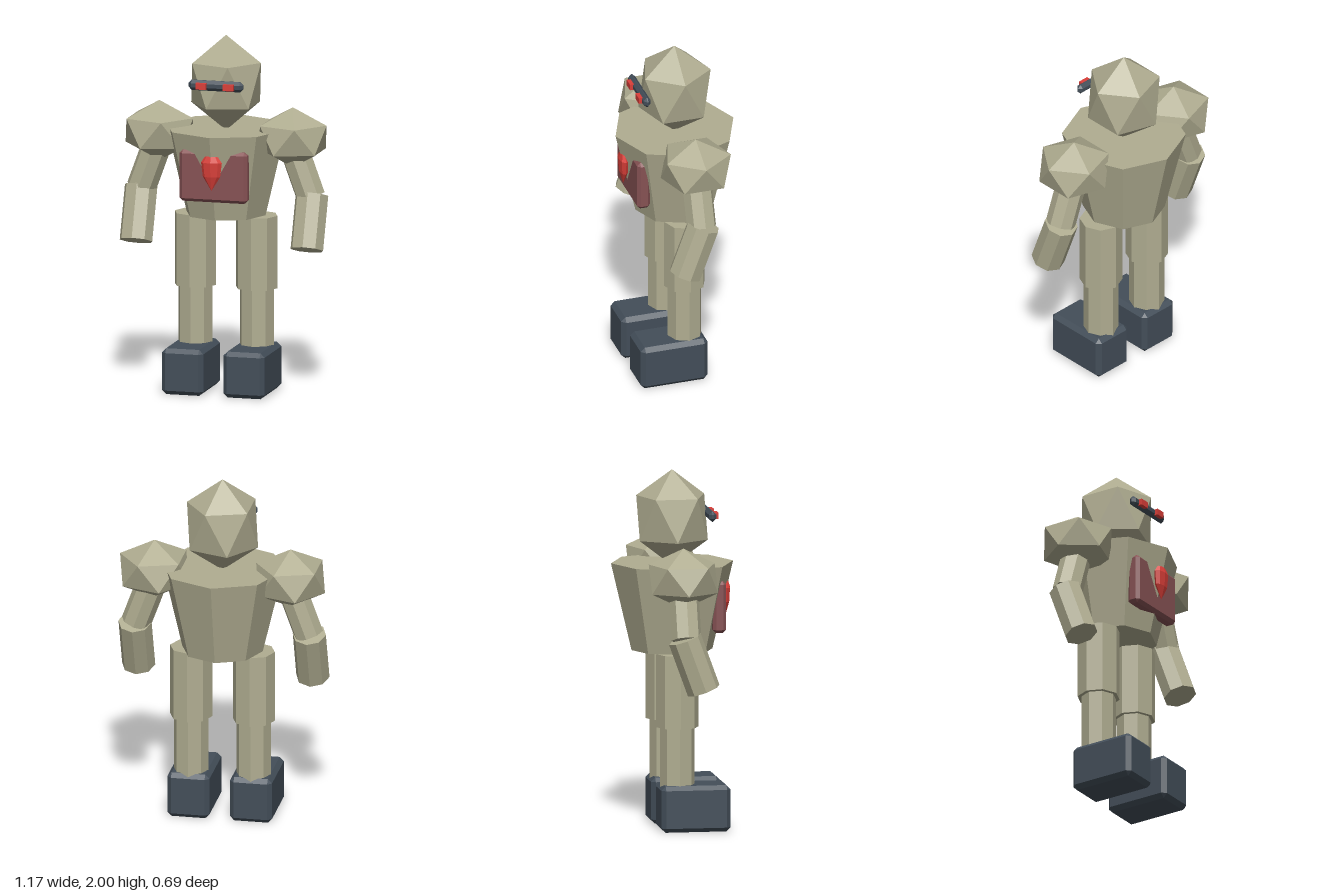
import * as THREE from 'three';
import { ConvexGeometry } from 'three/addons/geometries/ConvexGeometry.js';

const paint = (name, color) => {
  const m = new THREE.MeshStandardMaterial({ color });
  m.name = name;
  return m;
};

// Give every face its own flat normal
const faceted = (geo) => {
  const g = geo.index ? geo.toNonIndexed() : geo;
  g.computeVertexNormals();
  return g;
};

// Icosahedron standing on a vertex, with separate width and height radii
const poledIco = (r, ry) => {
  const g = new THREE.IcosahedronGeometry(1, 0);
  g.rotateZ(-Math.atan(2 / (1 + Math.sqrt(5))));
  g.scale(r, ry, r);
  return faceted(g);
};

const octagon = (top, bottom, height) => faceted(new THREE.CylinderGeometry(top, bottom, height, 8));

// Box with single-facet chamfered edges
const chamferBox = (w, h, d, c) => {
  const half = [w / 2, h / 2, d / 2];
  const points = [];
  for (const sx of [-1, 1]) for (const sy of [-1, 1]) for (const sz of [-1, 1]) {
    for (let axis = 0; axis < 3; axis++) {
      const [x, y, z] = half.map((v, i) => (i === axis ? v : v - c));
      points.push(new THREE.Vector3(sx * x, sy * y, sz * z));
    }
  }
  return new ConvexGeometry(points);
};

export function createModel() {
  const body = paint('stone body', 0xb0ad91);
  const dark = paint('dark slate', 0x434e59);
  const plate = paint('dull red plate', 0x875254);
  const red = paint('bright red', 0xdb3f39);

  const model = new THREE.Group();
  model.name = 'robot';
  const add = (name, geometry, material, x, y, z) => {
    const mesh = new THREE.Mesh(geometry, material);
    mesh.name = name;
    mesh.position.set(x, y, z);
    model.add(mesh);
    return mesh;
  };

  // Head and torso
  add('head', poledIco(0.225, 0.27), body, 0, 1.73, 0);
  add('torso', octagon(0.344, 0.228, 0.49), body, 0, 1.235, 0);

  // Chest plate, with the torso ridge showing through its middle
  add('chestPlate', chamferBox(0.39, 0.29, 0.075, 0.018), plate, 0, 1.245, 0.238);

  // Flattened gem on the chest
  const gemProfile = [[0, -0.1], [0.05, -0.02], [0.06, 0.06], [0.036, 0.095], [0, 0.1]]
    .map(([x, y]) => new THREE.Vector2(x, y));
  const gem = new THREE.LatheGeometry(gemProfile, 8);
  gem.scale(1, 1, 0.45);
  add('chestGem', faceted(gem), red, 0, 1.273, 0.3);

  // Visor floating before the face
  add('visor', chamferBox(0.315, 0.058, 0.042, 0.018), dark, 0, 1.749, 0.205);

  for (const side of [1, -1]) {
    const label = side > 0 ? 'left' : 'right';
    add(label + 'Eye', new THREE.BoxGeometry(0.06, 0.035, 0.045), red, side * 0.079, 1.748, 0.221);

    // Arm: the upper arm leans outwards, the forearm swings forwards
    add(label + 'Shoulder', poledIco(0.218, 0.17), body, side * 0.385, 1.44, 0);
    const upperArm = add(label + 'UpperArm', octagon(0.084, 0.084, 0.32), body, side * 0.435, 1.26, 0);
    upperArm.rotation.z = side * 0.35;
    const forearm = add(label + 'Forearm', octagon(0.094, 0.094, 0.31), body, side * 0.493, 0.972, 0.043);
    forearm.rotation.x = -0.35;

    // Leg and foot
    add(label + 'Thigh', octagon(0.119, 0.119, 0.41), body, side * 0.177, 0.785, 0);
    add(label + 'Shin', octagon(0.098, 0.098, 0.4), body, side * 0.177, 0.4, 0);
    add(label + 'Foot', chamferBox(0.238, 0.26, 0.39, 0.024), dark, side * 0.177, 0.13, 0.09);
  }

  return model;
}
